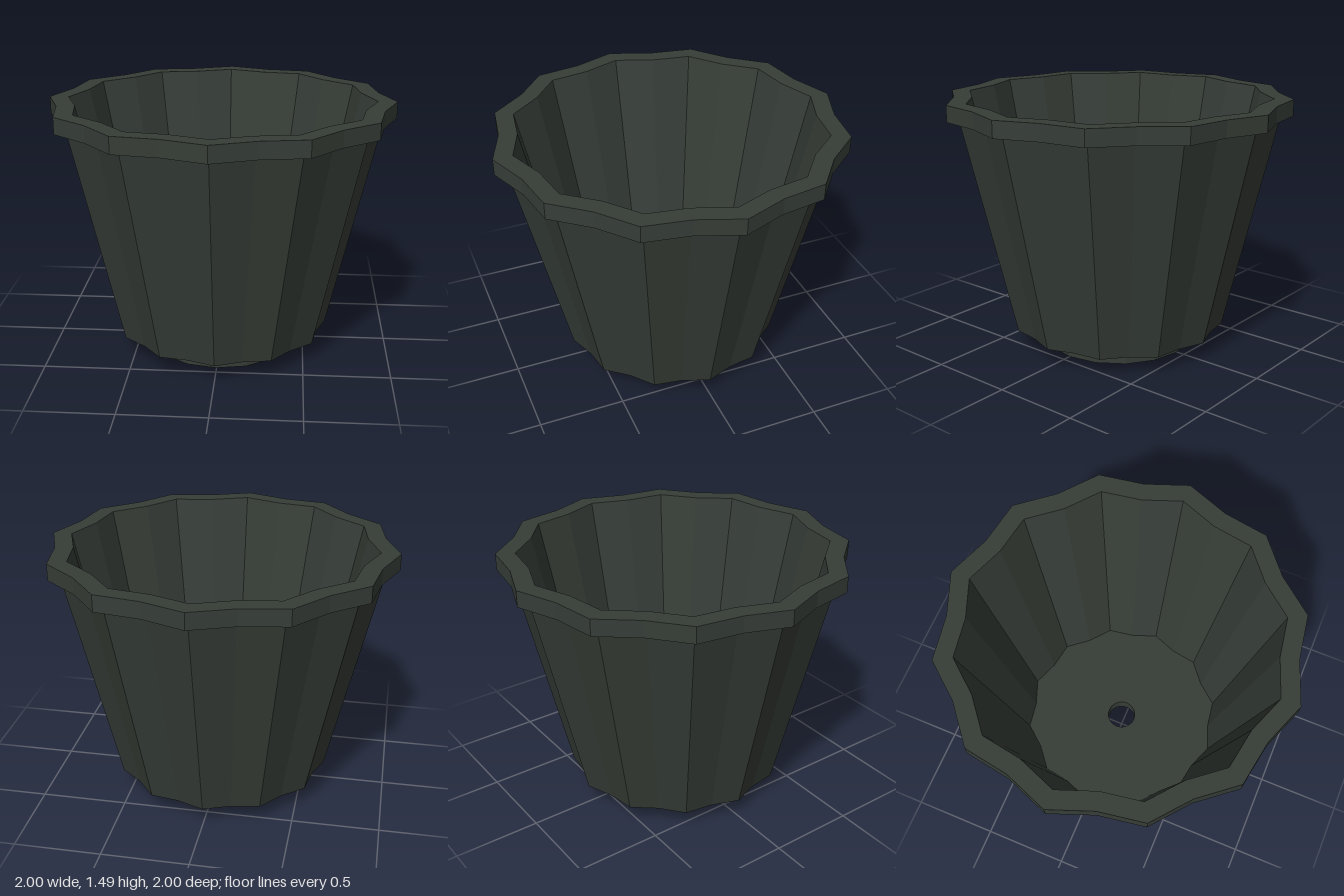
import * as THREE from 'three';

const VALLEY = 0.94; // flute valley radius relative to its peak

const darkGreen = new THREE.MeshStandardMaterial({ color: 0x363d37 });
darkGreen.name = 'darkGreenPlastic';

// Revolves a [radius, y] profile with flat facets; fluted profiles pull in every other column.
function turned(name, profile, sides, fluted) {
  const points = profile.map(([r, y]) => new THREE.Vector2(r, y));
  const geometry = new THREE.LatheGeometry(points, sides);
  const pos = geometry.attributes.position;
  if (fluted) {
    for (let i = 0; i < pos.count; i++) {
      const column = Math.floor(i / points.length);
      const r = profile[i % points.length][0];
      if (column % 2 === 1 && r > 0.5) {
        pos.setX(i, pos.getX(i) * VALLEY);
        pos.setZ(i, pos.getZ(i) * VALLEY);
      }
    }
  }
  const flat = geometry.toNonIndexed();
  flat.computeVertexNormals();
  const mesh = new THREE.Mesh(flat, darkGreen);
  mesh.name = name;
  return mesh;
}

export function createModel() {
  const group = new THREE.Group();
  group.name = 'flowerPot';
  group.add(
    // underside and tapered fluted wall
    turned('outerWall', [[0.086, 0.11], [0.635, 0.11], [0.93, 1.39]], 24, true),
    // protruding rim band
    turned('rim', [[0.93, 1.39], [1, 1.395], [1, 1.49], [0.89, 1.49]], 24, true),
    // inside wall and floor
    turned('innerWall', [[0.89, 1.49], [0.6, 0.2], [0.086, 0.2]], 24, true),
    // drain hole through the floor
    turned('drainHole', [[0.086, 0.2], [0.086, 0.11]], 24, false),
    // hollow foot ring
    turned('footRing', [[0.34, 0.11], [0.34, 0], [0.45, 0], [0.45, 0.11]], 16, false)
  );
  return group;
}
